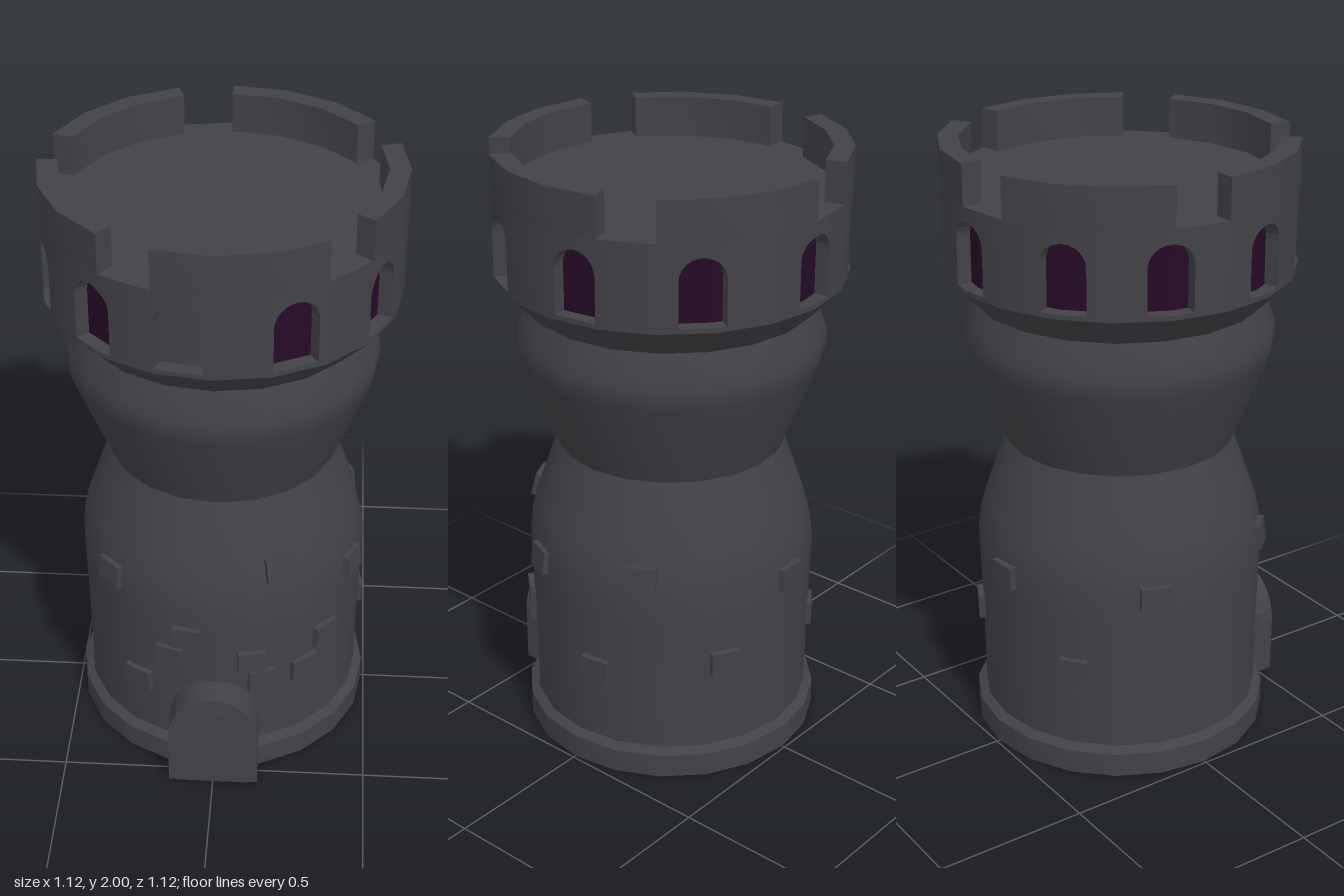
import * as THREE from 'three';
import { toCreasedNormals } from 'three/addons/utils/BufferGeometryUtils.js';

const SIDES = 20, STEP = 360 / SIDES, RAD = Math.PI / 180;
const stone = new THREE.MeshStandardMaterial({ color: 0x424147 });
stone.name = 'darkStone';
const dark = new THREE.MeshStandardMaterial({ color: 0x260b26 });
dark.name = 'darkPurple';

// Point at an angle in degrees, measured from the front (+z) towards +x
const polar = (deg, r, y) => [r * Math.sin(deg * RAD), y, r * Math.cos(deg * RAD)];

// Radius of the 20-sided outline at any angle
const facetRadius = (deg, r) =>
  r * Math.cos((STEP / 2) * RAD) / Math.cos((((deg % STEP) + STEP) % STEP - STEP / 2) * RAD);

function add(group, name, geometry, material = stone) {
  const mesh = new THREE.Mesh(geometry, material);
  mesh.name = name;
  group.add(mesh);
  return mesh;
}

function turned(points, crease = 0.6) {
  const profile = points.map(([r, y]) => new THREE.Vector2(r, y));
  return toCreasedNormals(new THREE.LatheGeometry(profile, SIDES), crease);
}

// Collects quads given counter-clockwise
class Quads {
  constructor() { this.p = []; }
  quad(a, b, c, d) { this.p.push(...a, ...b, ...c, ...a, ...c, ...d); }
  build(radial = false) {
    const g = new THREE.BufferGeometry();
    g.setAttribute('position', new THREE.Float32BufferAttribute(this.p, 3));
    g.computeVertexNormals();
    if (radial) {
      const n = g.attributes.normal;
      for (let i = 0; i < n.count; i++) {
        const x = this.p[i * 3], z = this.p[i * 3 + 2], l = Math.hypot(x, z);
        n.setXYZ(i, x / l, 0, z / l);
      }
    }
    return g;
  }
}

// Crown wall with arched, recessed windows
function buildCrown(group) {
  const R = 0.56, DEPTH = 0.045, LOW = 1.595, HIGH = 1.87;
  const SILL = 1.61, SPRING = 1.755, RISE = 0.07, HALF = 7.4;
  const windows = [25.8, 61, 100, 140, 181, 218, 251, 287, 320, 350];
  const blind = 350; // this niche has a stone back
  const wall = new Quads(), reveal = new Quads(), glass = new Quads(), niche = new Quads();
  const out = (a, y) => polar(a, facetRadius(a, R), y);
  const inn = (a, y) => polar(a, facetRadius(a, R) - DEPTH, y);

  const angles = [];
  for (let i = 0; i <= SIDES; i++) angles.push(i * STEP);
  for (const w of windows) for (let i = 0; i <= 12; i++) angles.push(w - HALF * Math.cos(i * Math.PI / 12));
  angles.sort((a, b) => a - b);

  for (let i = 0; i + 1 < angles.length; i++) {
    const a = angles[i], b = angles[i + 1];
    if (b - a < 1e-6) continue;
    const w = windows.find(c => Math.abs((a + b) / 2 - c) < HALF);
    if (w === undefined) {
      wall.quad(out(a, LOW), out(b, LOW), out(b, HIGH), out(a, HIGH));
      continue;
    }
    const arch = t => SPRING + RISE * Math.sqrt(Math.max(0, 1 - ((t - w) / HALF) ** 2));
    const ta = arch(a), tb = arch(b);
    wall.quad(out(a, LOW), out(b, LOW), out(b, SILL), out(a, SILL));
    wall.quad(out(a, ta), out(b, tb), out(b, HIGH), out(a, HIGH));
    reveal.quad(out(a, SILL), out(b, SILL), inn(b, SILL), inn(a, SILL));
    reveal.quad(inn(a, ta), inn(b, tb), out(b, tb), out(a, ta));
    (w === blind ? niche : glass).quad(inn(a, SILL), inn(b, SILL), inn(b, tb), inn(a, ta));
  }
  for (const w of windows) {
    const l = w - HALF, r = w + HALF;
    reveal.quad(out(l, SILL), inn(l, SILL), inn(l, SPRING), out(l, SPRING));
    reveal.quad(inn(r, SILL), out(r, SILL), out(r, SPRING), inn(r, SPRING));
  }
  add(group, 'crownWall', wall.build(true));
  add(group, 'windowReveals', reveal.build());
  add(group, 'windowPanes', glass.build(), dark);
  add(group, 'blindNiche', niche.build(true));

  const deck = new THREE.CircleGeometry(R, SIDES);
  deck.rotateX(-Math.PI / 2);
  add(group, 'deck', deck).position.y = HIGH;

  // Five battlements, each three facets long with a one-facet gap
  for (let k = 0; k < 5; k++) {
    const pts = [];
    for (let i = 0; i <= 3; i++) pts.push(polar(-18 + 72 * k + i * STEP, R, 0));
    for (let i = 3; i >= 0; i--) pts.push(polar(-18 + 72 * k + i * STEP, 0.495, 0));
    const shape = new THREE.Shape(pts.map(([x, , z]) => new THREE.Vector2(x, -z)));
    const g = new THREE.ExtrudeGeometry(shape, { depth: 2 - HIGH, bevelEnabled: false });
    g.rotateX(-Math.PI / 2);
    add(group, 'battlement', toCreasedNormals(g, 0.6)).position.y = HIGH;
  }
}

// Arched doorway block with a thin dark door on its face
function archGeometry(half, height, depth) {
  const s = new THREE.Shape();
  s.moveTo(-half, 0);
  s.lineTo(half, 0);
  s.lineTo(half, height - half * 1.1);
  s.absellipse(0, height - half * 1.1, half, half * 1.1, 0, Math.PI, false);
  s.lineTo(-half, 0);
  return toCreasedNormals(
    new THREE.ExtrudeGeometry(s, { depth, bevelEnabled: false, curveSegments: 14 }), 0.6);
}

export function createModel() {
  const tower = new THREE.Group();
  tower.name = 'tower';

  // Hollow plinth ring and the floor inside it
  add(tower, 'plinth', turned([[0.46, 0.08], [0.475, 0], [0.49, 0], [0.49, 0.08], [0.462, 0.098]], 0.5));
  const floor = new THREE.CircleGeometry(0.48, SIDES);
  floor.rotateX(Math.PI / 2);
  add(tower, 'floor', floor).position.y = 0.07;

  // Shaft, flared neck and corbel under the crown
  const shaft = [[0.461, 0.07], [0.463, 0.3], [0.469, 0.55], [0.472, 0.66], [0.464, 0.73],
    [0.447, 0.8], [0.412, 0.9], [0.37, 1.02]];
  add(tower, 'shaft', turned(shaft));
  add(tower, 'neck', turned([[0.37, 1.02], [0.484, 1.31], [0.495, 1.345], [0.497, 1.38],
    [0.49, 1.415], [0.463, 1.495]]));
  add(tower, 'corbel', turned([[0.463, 1.495], [0.56, 1.595]]));

  buildCrown(tower);

  add(tower, 'doorFrame', archGeometry(0.147, 0.357, 0.315)).position.z = 0.24;
  add(tower, 'door', archGeometry(0.12, 0.312, 0.006)).position.z = 0.552;

  // Raised bricks: angle and height
  const bricks = [[-47, 0.69], [27, 0.79], [-11, 0.54], [-18, 0.45], [-33, 0.305], [15, 0.445],
    [19.5, 0.36], [38, 0.36], [49, 0.46], [67, 0.665], [99, 0.36], [119, 0.725], [152, 0.41],
    [184, 0.64], [217, 0.37], [249, 0.64]];
  const brick = new THREE.BoxGeometry(0.094, 0.08, 0.04);
  for (const [deg, y] of bricks) {
    const i = shaft.findIndex(p => p[1] > y);
    const [r0, y0] = shaft[i - 1], [r1, y1] = shaft[i];
    const r = r0 + (r1 - r0) * (y - y0) / (y1 - y0);
    const mesh = add(tower, 'brick', brick);
    mesh.position.set(...polar(deg, r - 0.006, y));
    mesh.rotation.order = 'YXZ';
    mesh.rotation.set(-Math.atan2(r0 - r1, y1 - y0), deg * RAD, 0);
  }
  return tower;
}
